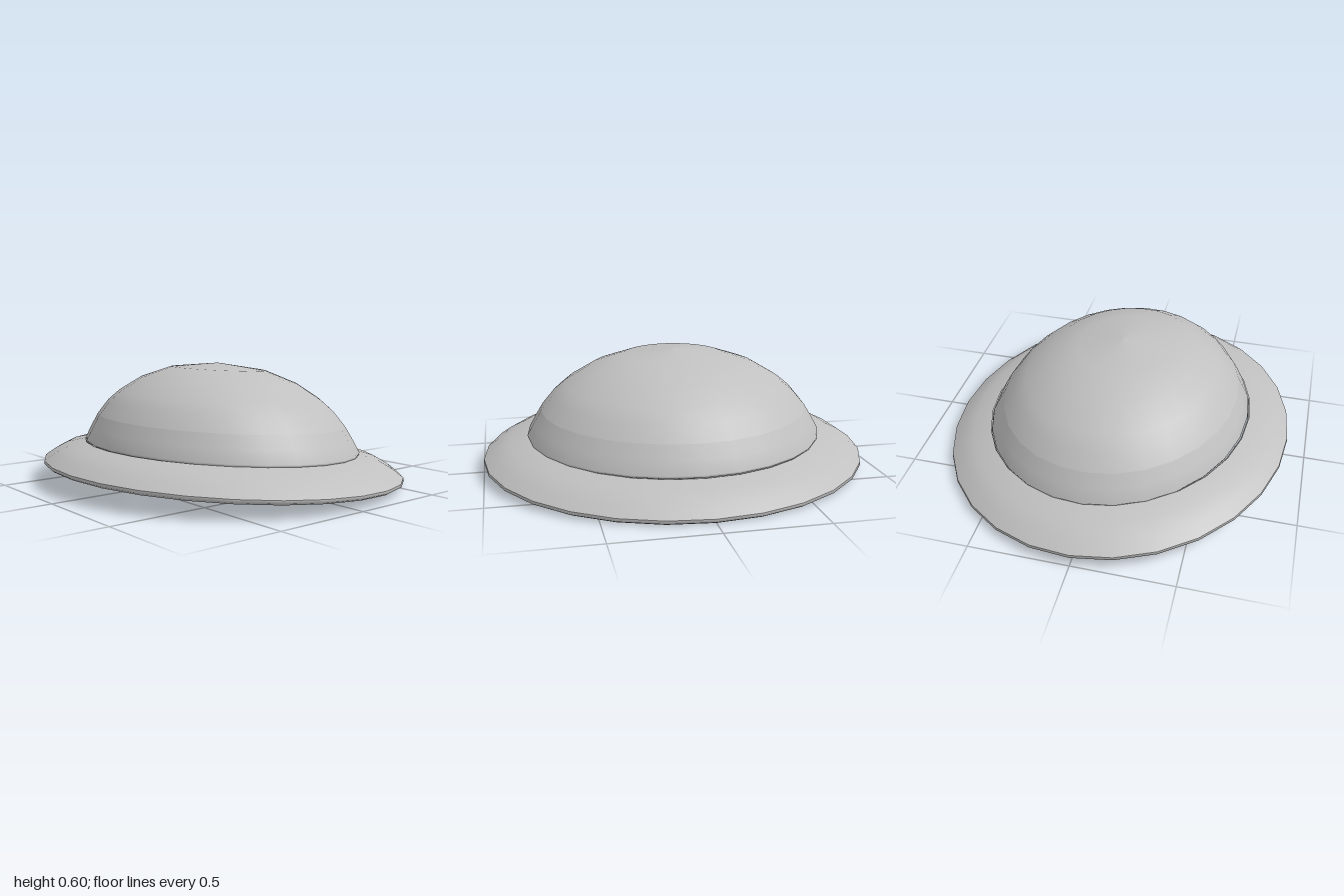
import * as THREE from 'three';

const SIDES = 28;

// Turned surface, squeezed to an oval, with the front lifted and the top leaning forward
function turned(name, profile, ratio, lean, material) {
  const points = profile.map(([r, y]) => new THREE.Vector2(r, y));
  const geometry = new THREE.LatheGeometry(points, SIDES);
  const lift = 0.053;
  geometry.applyMatrix4(new THREE.Matrix4().set(
    1, 0, 0, 0,
    0, 1, lift * ratio, 0,
    0, lean, ratio, -0.17 * lean,
    0, 0, 0, 1
  ));
  const mesh = new THREE.Mesh(geometry, material);
  mesh.name = name;
  return mesh;
}

export function createModel() {
  const felt = new THREE.MeshStandardMaterial({ color: 0xc0c0c0, side: THREE.DoubleSide });
  felt.name = 'grey felt';

  // Brim: sloping ring with a thin outer edge and a round opening
  const brim = new THREE.Group();
  brim.name = 'brim';
  const brimParts = {
    brimUnderside: [[0.765, 0.145], [0.86, 0.125], [0.985, 0.047]],
    brimEdge: [[0.985, 0.047], [1, 0.056], [0.998, 0.07]],
    brimTop: [[0.998, 0.07], [0.94, 0.11], [0.865, 0.148], [0.765, 0.172]],
    brimOpening: [[0.765, 0.172], [0.765, 0.145]],
  };
  for (const [name, profile] of Object.entries(brimParts)) {
    brim.add(turned(name, profile, 0.9 - (name === 'brimOpening' ? 0.005 : 0), 0, felt));
  }

  // Crown: hollow dome above a band that rolls under at the bottom
  const crown = new THREE.Group();
  crown.name = 'crown';
  const band = [[0.773, 0.182], [0.738, 0.245], [0.698, 0.31]];
  const dome = [[0.698, 0.31], [0.636, 0.384], [0.568, 0.44], [0.44, 0.516], [0.267, 0.576], [0, 0.605]];
  const inner = (profile) => profile.map(([r, y]) => [r * 0.972, y - 0.012]).reverse();
  const crownParts = {
    crownBand: [[0.75, 0.163], [0.768, 0.17], ...band],
    crownDome: dome,
    crownLining: inner(dome),
    crownBandLining: inner(band),
    crownLip: [[0.773 * 0.972, 0.17], [0.735, 0.16], [0.75, 0.163]],
  };
  for (const [name, profile] of Object.entries(crownParts)) {
    crown.add(turned(name, profile, 0.88, 0.035, felt));
  }

  const hat = new THREE.Group();
  hat.name = 'hat';
  hat.add(brim, crown);
  return hat;
}
